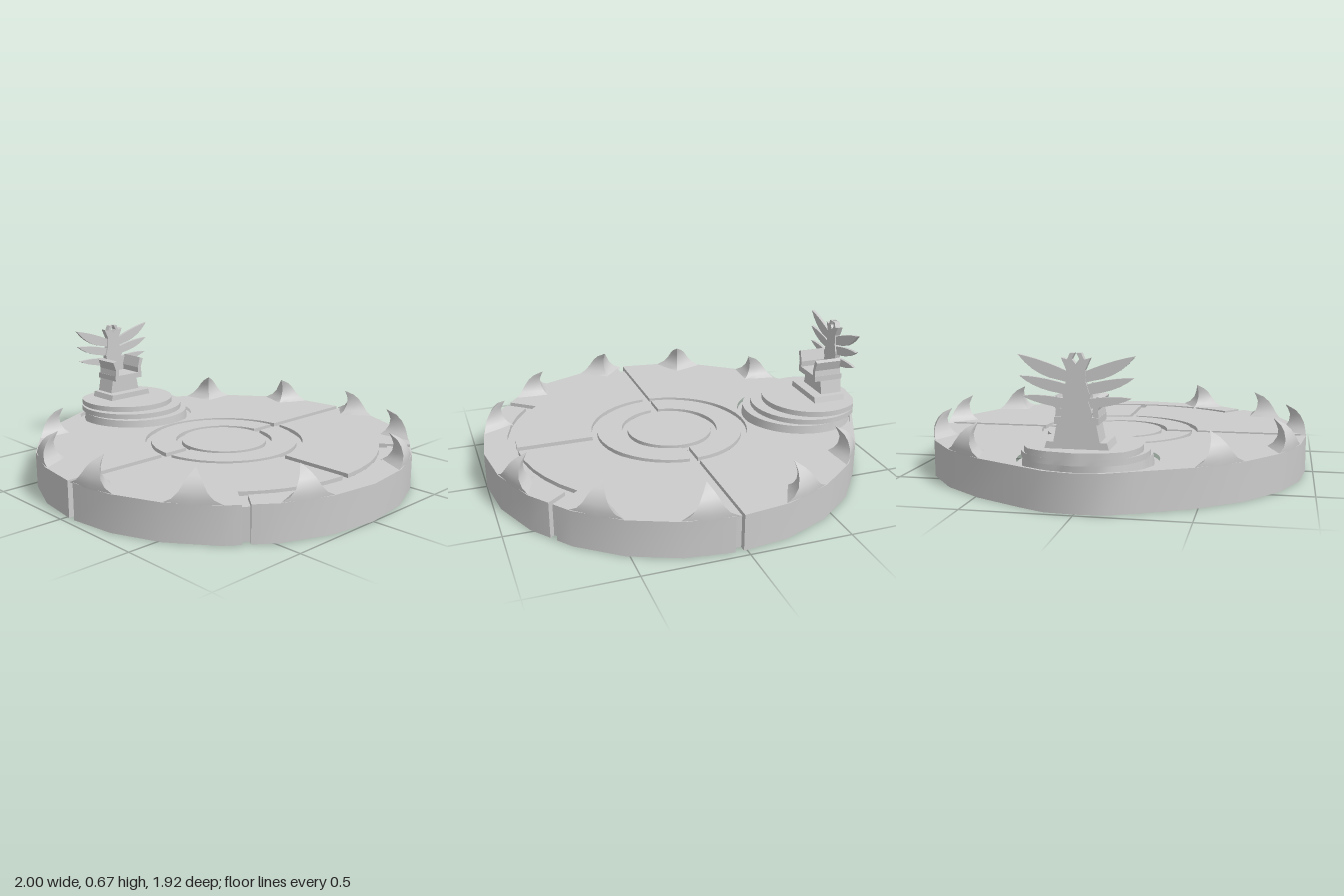
import * as THREE from 'three';
import { toCreasedNormals } from 'three/addons/utils/BufferGeometryUtils.js';

const X = 0.035, TOP = 0.18, FLOOR = 0.16, R = 0.965, NOTCH = 0.93, A = 38.5;
const rad = THREE.MathUtils.degToRad;
const mat = new THREE.MeshStandardMaterial({ color: 0xcccccc, side: THREE.DoubleSide });

// Plan points are [x, p] with p = -z, so angles run counter-clockwise from above.
const polar = (r, deg) => [X + r * Math.cos(rad(deg)), r * Math.sin(rad(deg))];
const lift = (pts, y) => pts.map(([x, p]) => [x, y, -p]);
const gap = r => THREE.MathUtils.radToDeg(Math.asin(0.02 / r)); // half groove as an angle

// Rim corners [angle, radius]: a 24-gon that bulges behind the dais
const rim = [];
for (let i = 0; i <= 24; i++) {
  rim.push([i * 15, i === 12 ? 1.035 : Math.abs(i - 12) === 1 ? 0.985 : R]);
  if (i === 11) rim.push([172.5, 1.022]);
  if (i === 12) rim.push([187.5, 1.022]);
}

function rimRadius(deg) {
  const d = ((deg % 360) + 360) % 360;
  const i = rim.findIndex((v, k) => k < rim.length - 1 && d >= v[0] && d <= rim[k + 1][0]);
  const [a, ra] = rim[i], [b, rb] = rim[i + 1];
  return ra * rb * Math.sin(rad(b - a)) / (ra * Math.sin(rad(d - a)) + rb * Math.sin(rad(b - d)));
}

function rimArc(a0, a1) {
  const angles = [a0];
  for (const turn of [-360, 0]) {
    for (const [a] of rim) {
      if (a + turn > a0 && a + turn < a1 && !angles.includes(a + turn)) angles.push(a + turn);
    }
  }
  return [...angles, a1].map(a => polar(rimRadius(a), a));
}

function arc(r, a0, a1) {
  const n = Math.max(1, Math.ceil(Math.abs(a1 - a0) / 9));
  return Array.from({ length: n + 1 }, (_, i) => polar(r, a0 + (a1 - a0) * i / n));
}

// Skin through rows of points, listed from the outside/bottom to the inside/top
function loft(rows, closed, crease = 0.6) {
  const pos = [], n = rows[0].length;
  for (let k = 0; k < rows.length - 1; k++) {
    for (let i = 0; i < (closed ? n : n - 1); i++) {
      const j = (i + 1) % n, a = rows[k], b = rows[k + 1];
      pos.push(...a[i], ...a[j], ...b[j], ...a[i], ...b[j], ...b[i]);
    }
  }
  const g = new THREE.BufferGeometry();
  g.setAttribute('position', new THREE.Float32BufferAttribute(pos, 3));
  return toCreasedNormals(g, crease);
}

function add(parent, name, geometry) {
  const mesh = new THREE.Mesh(geometry, mat);
  mesh.name = name;
  parent.add(mesh);
  return mesh;
}

// Flat top with edges that drop to the groove floor, or to the ground at the rim
function plate(parent, name, pts, hole) {
  const shape = new THREE.Shape(pts.map(p => new THREE.Vector2(...p)));
  if (hole) shape.holes.push(new THREE.Path(hole.map(p => new THREE.Vector2(...p))));
  add(parent, name, new THREE.ShapeGeometry(shape).rotateX(-Math.PI / 2).translate(0, TOP, 0));
  const low = [], high = [];
  pts.forEach((p, i) => {
    const q = pts[(i + 1) % pts.length];
    const outer = [p, q].every(([x, y]) => Math.hypot(x - X, y) > NOTCH - 0.001);
    for (const c of [p, q]) {
      const r = Math.hypot(c[0] - X, c[1]), s = Math.min(r, 1.015) / r;
      low.push(outer ? [X + (c[0] - X) * s, 0, -c[1] * s] : [c[0], FLOOR, -c[1]]);
      high.push([c[0], TOP, -c[1]]);
    }
  });
  add(parent, name + 'Edge', loft([low, high], false));
}

// Straight groove floor; it ends in a wall to the ground when it meets the rim
function groove(parent, deg, r0, r1) {
  const d = rad(deg), row = r => [-0.02, 0.02].map(w =>
    [X + r * Math.cos(d) - w * Math.sin(d), r * Math.sin(d) + w * Math.cos(d)]);
  const rows = [lift(row(r1), FLOOR), lift(row(r0), FLOOR)];
  if (r1 === NOTCH) rows.unshift(lift(row(r1), 0));
  add(parent, 'straightGroove', loft(rows, false));
}

// Circle in plan, kept within the rim
function daisLoop(cx, r, y, inset = 1) {
  return Array.from({ length: 48 }, (_, i) => {
    const t = i / 48 * Math.PI * 2;
    const x = cx + r * Math.cos(t) - X, p = r * Math.sin(t), d = Math.hypot(x, p);
    const s = Math.min(1, inset * rimRadius(THREE.MathUtils.radToDeg(Math.atan2(p, x))) / d);
    return [X + x * s, y, -p * s];
  });
}

function buildPlatform() {
  const g = new THREE.Group();
  g.name = 'platform';
  const hole = daisLoop(-0.7, 0.32, 0, 0.985).map(([x, , z]) => [x, -z]);
  plate(g, 'centreDisc', arc(0.22, 0, 351));
  for (const s of [90, 270]) {
    plate(g, 'innerRing', [...arc(0.38, s + gap(0.38), s + 180 - gap(0.38)),
      ...arc(0.25, s + 180 - gap(0.25), s + gap(0.25))]);
  }
  plate(g, 'leftFloor', [...rimArc(90 + gap(R), 270 - gap(R)), polar(NOTCH, 270 - gap(NOTCH)),
    ...arc(0.41, 270 - gap(0.41), 90 + gap(0.41)), polar(NOTCH, 90 + gap(NOTCH))], hole);
  const quarter = [...rimArc(A + gap(R), 90 - gap(R)), polar(NOTCH, 90 - gap(NOTCH)),
    ...arc(0.41, 90 - gap(0.41), gap(0.41)), ...arc(0.8, gap(0.8), A + gap(0.8)),
    polar(NOTCH, A + gap(NOTCH))];
  plate(g, 'backFloor', quarter);
  plate(g, 'frontFloor', quarter.map(([x, p]) => [x, -p]).reverse());
  plate(g, 'rimCrescent', [...rimArc(-A + gap(R), A - gap(R)), polar(NOTCH, A - gap(NOTCH)),
    ...arc(0.84, A - gap(0.84), -A + gap(0.84)), polar(NOTCH, -A + gap(NOTCH))]);

  // Groove floors
  for (const [r0, r1, a] of [[0.22, 0.25, 180], [0.38, 0.41, 180], [0.8, 0.84, A + 1.4]]) {
    add(g, 'curvedGroove', loft([r1, r0].map(r => lift(arc(r, -a, a), FLOOR)), false));
  }
  for (const a of [90, 270]) {
    groove(g, a, 0.25, 0.38);
    groove(g, a, 0.41, NOTCH);
  }
  groove(g, 0, 0.41, 0.81);
  for (const a of [A, -A]) groove(g, a, 0.82, NOTCH);
  return g;
}

// Claw on the rim, curling inwards: rows of [height, half width, outer radius, inner radius]
function clawGeometry() {
  const rows = [[0.175, 0.14, 0.96, 0.83], [0.2, 0.09, 0.96, 0.865], [0.23, 0.062, 0.955, 0.885],
    [0.265, 0.042, 0.938, 0.89], [0.29, 0.025, 0.915, 0.88], [0.315, 0.001, 0.868, 0.866]];
  return loft(rows.map(([y, w, ro, ri]) => {
    const side = ro - w * w / 1.93, mid = ri + 0.4 * (ro - ri);
    return [[side, -w], [ro, 0], [side, w], [mid, 0.45 * w], [ri, 0], [mid, -0.45 * w]]
      .map(([r, t]) => [r, y, -t]);
  }), true, 0.9);
}

// Outline in [z, y], extruded along x
function slab(pts, x0, x1) {
  const shape = new THREE.Shape(pts.map(p => new THREE.Vector2(...p)));
  return new THREE.ExtrudeGeometry(shape, { depth: x1 - x0, bevelEnabled: false })
    .rotateY(Math.PI / 2).translate(x0, 0, 0);
}
const mirrored = half => [...half, ...half.map(([z, y]) => [-z, y]).reverse()];

function buildThrone() {
  const g = new THREE.Group();
  g.name = 'throne';
  add(g, 'throneStep', slab(mirrored([[0.14, 0.262], [0.13, 0.295]]), -0.92, -0.745));
  add(g, 'pedestal', slab(mirrored([[0.1, 0.295], [0.085, 0.37]]), -0.92, -0.8));
  add(g, 'seat', slab(mirrored([[0.095, 0.37], [0.095, 0.4]]), -0.92, -0.76));
  add(g, 'backrest', slab(mirrored([[0.06, 0.39], [0.068, 0.42], [0.052, 0.47], [0.058, 0.5],
    [0.042, 0.55], [0.04, 0.6], [0.062, 0.65], [0.036, 0.643], [0.024, 0.67], [0.004, 0.67],
    [0.016, 0.645], [0.001, 0.625]]), -0.925, -0.895));
  for (const s of [-1, 1]) {
    add(g, 'armrest', slab([[0.07, 0.4], [0.095, 0.39], [0.09, 0.43], [0.108, 0.48], [0.085, 0.488],
      [0.068, 0.43]].map(([z, y]) => [s * z, y]), -0.91, -0.76));
    // Fan of curved blades beside the backrest
    for (const [y, tipZ, tipY] of [[0.44, 0.235, 0.43], [0.5, 0.245, 0.57], [0.555, 0.25, 0.66]]) {
      const end = y === 0.44 ? 0.485 : tipY;
      const blade = new THREE.Shape();
      blade.moveTo(s * 0.03, y - 0.01);
      blade.lineTo(s * 0.07, y);
      blade.quadraticCurveTo(s * 0.18, y + 0.015, s * tipZ, end);
      blade.quadraticCurveTo(s * 0.15, (y + end) / 2 + 0.035, s * 0.03, y + 0.035);
      add(g, 'blade', new THREE.ExtrudeGeometry(blade, { depth: 0.016, bevelEnabled: false, curveSegments: 5 })
        .rotateY(Math.PI / 2).translate(-0.918, 0, 0));
    }
  }
  return g;
}

export function createModel() {
  const model = new THREE.Group();
  model.name = 'throneArena';
  model.add(buildPlatform());

  // Stepped dais
  const steps = [[-0.7, 0.29, 0.21], [-0.74, 0.285, 0.21], [-0.74, 0.285, 0.237],
    [-0.78, 0.26, 0.237], [-0.78, 0.26, 0.265], [-0.78, 0.001, 0.265]];
  add(model, 'dais', loft([daisLoop(-0.7, 0.32, FLOOR, 0.985), daisLoop(-0.7, 0.295, FLOOR, 0.985),
    ...steps.map(s => daisLoop(...s))], true));
  model.add(buildThrone());

  // Ring of claws, the same on both sides
  const claw = clawGeometry();
  for (const a of [22, 52, 82, 112, 142]) {
    for (const s of [-1, 1]) {
      const mesh = add(model, 'rimClaw', claw);
      mesh.position.x = X;
      mesh.rotation.y = rad(s * a);
    }
  }
  return model;
}
